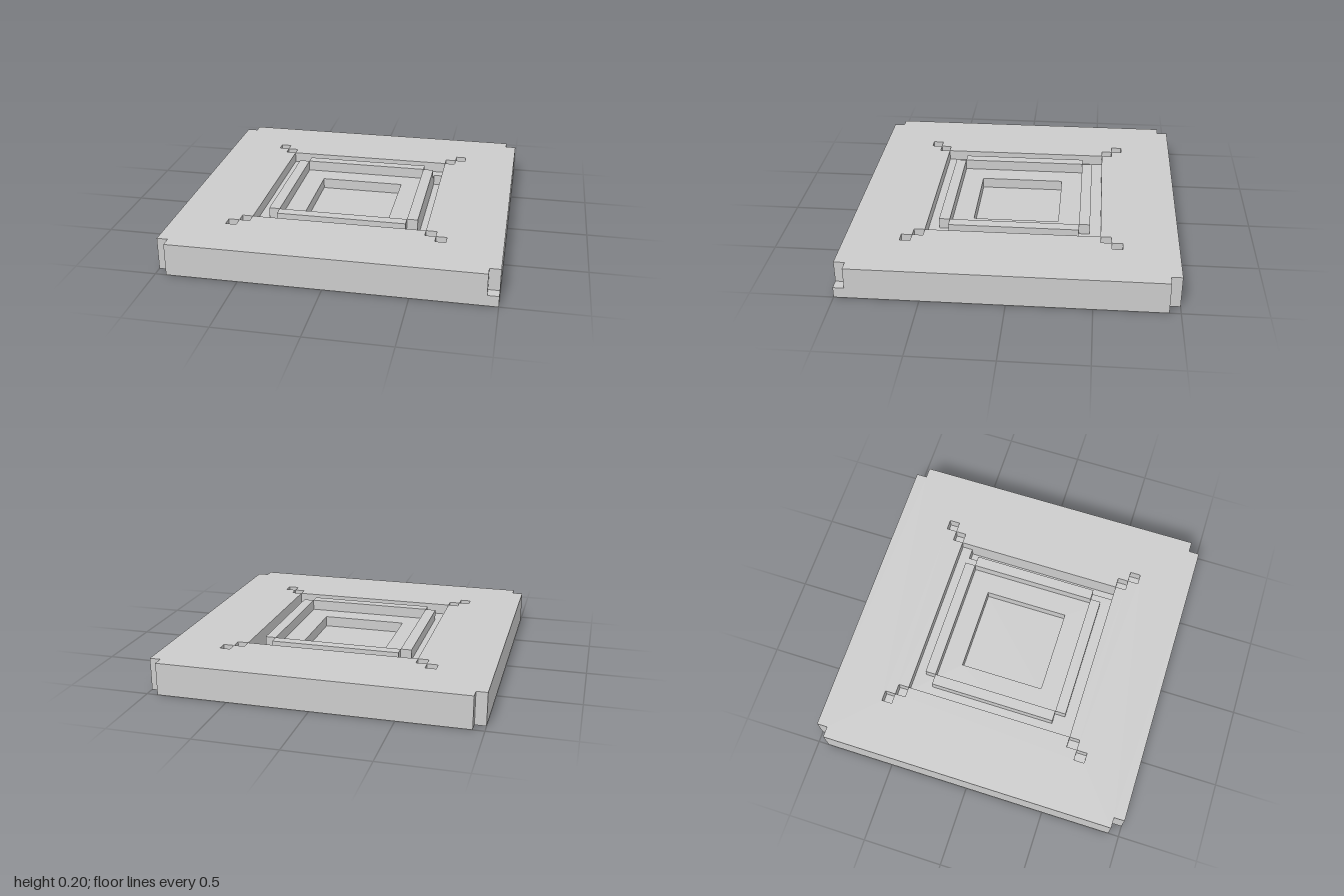
import * as THREE from 'three';

const U = 1 / 15; // grid unit: the slab is 30 x 30 x 3 units
const material = new THREE.MeshStandardMaterial({ color: 0xcccccc, flatShading: true });

// Square outline with unit notches; frontLeftNotch cuts the (+x, +z) corner as well
function outline(frontLeftNotch) {
  const points = [];
  for (const [sx, sz] of [[1, 1], [1, -1], [-1, -1], [-1, 1]]) {
    if (sx === 1 && sz === 1 && !frontLeftNotch) {
      points.push([15, 15]);
      continue;
    }
    const notch = [[14 * sx, 15 * sz], [14 * sx, 14 * sz], [15 * sx, 14 * sz]];
    points.push(...(sx * sz > 0 ? notch : notch.reverse()));
  }
  return points;
}

const rect = (x0, z0, x1, z1) => [[x0, z0], [x1, z0], [x1, z1], [x0, z1]];
const toPoints = (list) => list.map(([x, z]) => new THREE.Vector2(x * U, -z * U));

// One unit-thick slab layer with openings
function layer(name, level, border, holes) {
  const shape = new THREE.Shape(toPoints(border));
  for (const hole of holes) shape.holes.push(new THREE.Path(toPoints(hole)));
  const geometry = new THREE.ExtrudeGeometry(shape, { depth: U, bevelEnabled: false });
  geometry.rotateX(-Math.PI / 2);
  const mesh = new THREE.Mesh(geometry, material);
  mesh.name = name;
  mesh.position.y = level * U;
  return mesh;
}

export function createModel() {
  const group = new THREE.Group();
  group.name = 'steppedPlatform';

  // Solid base, keeping a low step in one notched corner
  group.add(layer('baseLayer', 0, outline(false), []));

  // Middle layer with the central pit and a deeper channel on the left
  group.add(layer('middleLayer', 1, outline(true), [rect(-4, -4, 4, 4), rect(7, -7, 8, 8)]));

  // Top layer with the square court and pairs of small diagonal pits
  const e = 0.01; // keeps diagonal pits from touching
  const openings = [rect(-8, -8, 8, 8)];
  for (const sx of [-1, 1]) {
    for (const sz of [-1, 1]) {
      for (const d of [8, 9]) {
        const cx = sx * (d + 0.5), cz = sz * (d + 0.5), h = 0.5 - e;
        openings.push(rect(cx - h, cz - h, cx + h, cz + h));
      }
    }
  }
  group.add(layer('topLayer', 2, outline(true), openings));

  // Low walls around the inner court, open at the corners
  for (const s of [-1, 1]) {
    for (const alongX of [true, false]) {
      const size = alongX ? [12, 1] : [1, 12];
      const wall = new THREE.Mesh(new THREE.BoxGeometry(size[0] * U, U, size[1] * U), material);
      wall.name = alongX ? (s > 0 ? 'frontWall' : 'backWall') : (s > 0 ? 'leftWall' : 'rightWall');
      wall.position.set(alongX ? 0 : s * 6.5 * U, 2.5 * U, alongX ? s * 6.5 * U : 0);
      group.add(wall);
    }
  }
  return group;
}
